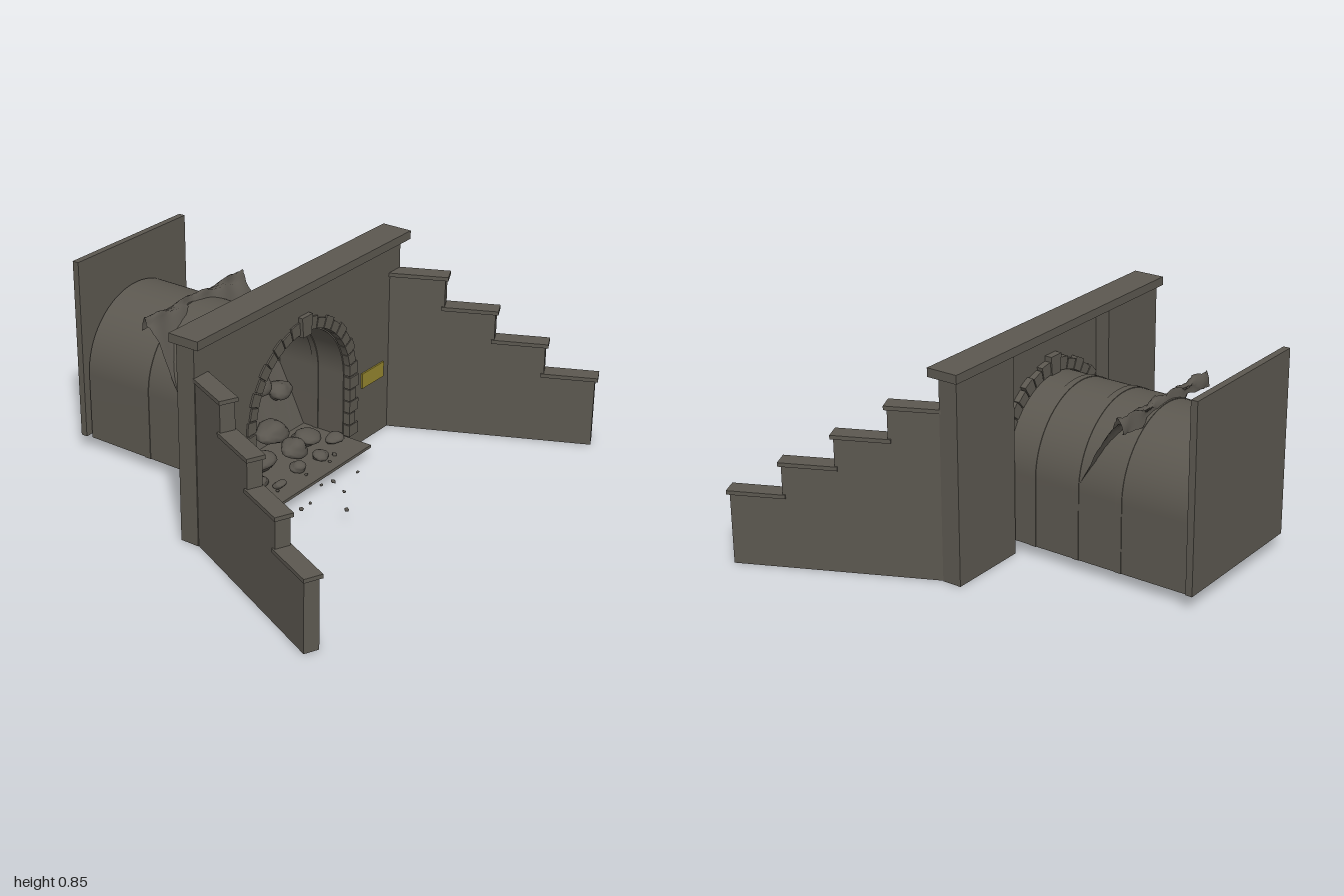
import * as THREE from 'three';
import { mergeVertices, toCreasedNormals } from 'three/addons/utils/BufferGeometryUtils.js';

const stone = new THREE.MeshStandardMaterial({ color: 0x5c5850 });
stone.name = 'stone';
const rubble = new THREE.MeshStandardMaterial({ color: 0x5a564f, side: THREE.DoubleSide });
rubble.name = 'rubble';
const brass = new THREE.MeshStandardMaterial({ color: 0x94852f });
brass.name = 'brass';

const SPRING = 0.33; // height where the arch begins
const FLOOR = 0.05;

function add(parent, name, geometry, material, x = 0, y = 0, z = 0) {
  const mesh = new THREE.Mesh(geometry, material);
  mesh.name = name;
  mesh.position.set(x, y, z);
  parent.add(mesh);
  return mesh;
}

// Box given by its limits
function block(parent, name, [x0, x1], [y0, y1], [z0, z1], material = stone) {
  return add(parent, name, new THREE.BoxGeometry(x1 - x0, y1 - y0, z1 - z0), material,
    (x0 + x1) / 2, (y0 + y1) / 2, (z0 + z1) / 2);
}

function extrude(shape, z0, z1) {
  const g = new THREE.ExtrudeGeometry(shape, { depth: z1 - z0, bevelEnabled: false, curveSegments: 32 });
  g.translate(0, 0, z0);
  return toCreasedNormals(g, 0.5);
}

// Horseshoe-shaped ring, open at the bottom
function horseshoe(outer, inner) {
  const s = new THREE.Shape();
  s.moveTo(outer, FLOOR);
  s.lineTo(outer, SPRING);
  s.absarc(0, SPRING, outer, 0, Math.PI, false);
  s.lineTo(-outer, FLOOR);
  s.lineTo(-inner, FLOOR);
  s.lineTo(-inner, SPRING);
  s.absarc(0, SPRING, inner, Math.PI, 0, true);
  s.lineTo(inner, FLOOR);
  s.closePath();
  return s;
}

// Wedge-shaped arch stone
function wedge(inner, outer, a0, a1) {
  const s = new THREE.Shape();
  s.absarc(0, SPRING, outer, a0, a1, false);
  s.absarc(0, SPRING, inner, a1, a0, true);
  s.closePath();
  return s;
}

function createFacade() {
  const g = new THREE.Group();
  g.name = 'facade';
  for (const s of [-1, 1]) {
    const xs = [0.31 * s, 0.65 * s].sort((a, b) => a - b);
    block(g, 'wallBlock', xs, [0, 0.81], [-0.03, 0.05]);
  }
  // Thin panel above the opening
  const panel = new THREE.Shape();
  panel.moveTo(0.31, SPRING);
  panel.lineTo(0.31, 0.81);
  panel.lineTo(-0.31, 0.81);
  panel.lineTo(-0.31, SPRING);
  panel.absarc(0, SPRING, 0.305, Math.PI, 0, true);
  panel.closePath();
  add(g, 'archPanel', extrude(panel, 0.03, 0.05), stone);
  block(g, 'wallCap', [-0.67, 0.67], [0.81, 0.845], [-0.047, 0.085]);

  // Arch stones, jamb stones and keystone
  const count = 19, step = Math.PI / count;
  for (let i = 0; i < count; i++) {
    const outer = i % 2 ? 0.345 : 0.355;
    add(g, 'archStone', extrude(wedge(0.303, outer, i * step + 0.008, (i + 1) * step - 0.008), 0.005, 0.057), stone);
  }
  for (const s of [-1, 1]) {
    for (let i = 0; i < 5; i++) {
      const xs = [0.303 * s, (i % 2 ? 0.342 : 0.362) * s].sort((a, b) => a - b);
      block(g, 'jambStone', xs, [0.062 + i * 0.053, 0.111 + i * 0.053], [0.005, 0.057]);
    }
  }
  const key = new THREE.Shape([[-0.026, 0.622], [0.026, 0.622], [0.033, 0.705], [-0.033, 0.705]]
    .map(([x, y]) => new THREE.Vector2(x, y)));
  add(g, 'keystone', extrude(key, 0, 0.07), stone);
  block(g, 'plaque', [0.39, 0.54], [0.245, 0.31], [0.05, 0.057], brass);
  return g;
}

// Stepped wing wall: local z runs outward from the facade
function createWing(side) {
  const g = new THREE.Group();
  g.name = side > 0 ? 'leftWing' : 'rightWing';
  g.position.set(0.615 * side, 0, 0.055);
  g.rotation.y = side * 25 * Math.PI / 180;
  const len = 0.205;
  [0.67, 0.54, 0.415, 0.285].forEach((h, i) => {
    const z0 = i * len - (i ? 0 : 0.02);
    block(g, 'wingStep', [-0.03, 0.03], [0, h], [z0, (i + 1) * len]);
    block(g, 'wingCap', [-0.037, 0.037], [h, h + 0.016], [z0 - 0.012, (i + 1) * len + 0.012]);
  });
  return g;
}

const bump = (a, b) => Math.sin(a * 23 + b * 31) * 0.5 + Math.sin(a * 47 - b * 19 + 1.3) * 0.3 + Math.sin(a * 71 + b * 83) * 0.2;

// Collapsed earth that slopes up and breaks through the roof
function slopeGeometry() {
  const profile = new THREE.CatmullRomCurve3([[0.05, -0.16], [0.36, -0.315], [0.52, -0.4], [0.63, -0.465], [0.65, -0.49], [0.6, -0.5]]
    .map(([y, z]) => new THREE.Vector3(0, y, z)));
  const geo = new THREE.PlaneGeometry(0.596, 1, 28, 28);
  const p = geo.attributes.position;
  for (let i = 0; i < p.count; i++) {
    const x = p.getX(i), t = p.getY(i) + 0.5;
    const c = profile.getPoint(t);
    const n = bump(x, t * 0.6) * 0.018 * Math.min(1, t * 1.4);
    p.setXYZ(i, x, c.y + n, c.z + n * 0.5);
  }
  geo.computeVertexNormals();
  return geo;
}

function createTunnel() {
  const g = new THREE.Group();
  g.name = 'tunnel';
  add(g, 'tunnelShell', extrude(horseshoe(0.3, 0.294), -0.787, 0.03), stone);
  for (const z of [-0.12, -0.315, -0.505]) {
    add(g, 'tunnelRib', extrude(horseshoe(0.303, 0.29), z, z + 0.028), stone);
  }
  block(g, 'tunnelFloor', [-0.3, 0.3], [FLOOR, 0.062], [-0.787, 0.165]);
  block(g, 'endPanel', [-0.322, 0.322], [0.06, 0.815], [-0.825, -0.797]);
  add(g, 'collapseSlope', slopeGeometry(), rubble);
  return g;
}

// Lumpy rock, smooth for boulders and faceted for pebbles
function rockGeometry(seed, detail) {
  let geo = new THREE.IcosahedronGeometry(1, detail);
  geo.deleteAttribute('uv');
  geo.deleteAttribute('normal');
  geo = mergeVertices(geo, 1e-3);
  const p = geo.attributes.position, v = new THREE.Vector3();
  for (let i = 0; i < p.count; i++) {
    v.fromBufferAttribute(p, i);
    const k = 0.92 + 0.13 * Math.sin(v.x * 3.1 + seed) + 0.12 * Math.sin(v.y * 4.3 + v.z * 2.7 + seed * 2.1);
    p.setXYZ(i, v.x * k, v.y * k, v.z * k);
  }
  geo.computeVertexNormals();
  return geo;
}

function createRubble() {
  const g = new THREE.Group();
  g.name = 'rubble';
  // Boulders: x, y, z, half width, half height
  const boulders = [
    [0.065, 0.29, -0.25, 0.08, 0.06], [-0.18, 0.2, -0.2, 0.07, 0.05], [0.21, 0.23, -0.22, 0.06, 0.042],
    [-0.14, 0.095, -0.06, 0.075, 0.04], [0.03, 0.1, -0.02, 0.065, 0.045], [0.16, 0.09, -0.05, 0.07, 0.03],
    [-0.24, 0.08, 0.02, 0.045, 0.025], [0.23, 0.078, 0.03, 0.045, 0.022], [-0.05, 0.078, 0.06, 0.04, 0.022],
    [0.09, 0.075, 0.07, 0.04, 0.022], [-0.19, 0.07, 0.08, 0.03, 0.015], [0.04, 0.13, -0.14, 0.08, 0.05],
  ];
  boulders.forEach(([x, y, z, w, h], i) => {
    const m = add(g, 'boulder', rockGeometry(i * 1.7, 2), rubble, x, y, z);
    m.scale.set(w, h, w * 0.8);
  });
  // Pebbles on and in front of the floor: x, z
  const pebbles = [[-0.27, 0.24], [-0.21, 0.24], [-0.07, 0.19], [-0.02, 0.21], [-0.06, 0.29], [0.1, 0.24],
    [-0.17, 0.38], [-0.23, 0.1], [0.08, 0.12], [0.14, 0.1], [-0.06, 0.11]];
  pebbles.forEach(([x, z], i) => {
    const r = i % 3 ? 0.008 : 0.011;
    const m = add(g, 'pebble', rockGeometry(i * 2.3, 0), rubble, x, z > 0.165 ? 0.05 : 0.066, z);
    m.scale.set(r, r * 0.8, r);
  });
  return g;
}

export function createModel() {
  const model = new THREE.Group();
  model.name = 'collapsedTunnelEntrance';
  model.add(createFacade(), createWing(1), createWing(-1), createTunnel(), createRubble());
  return model;
}
